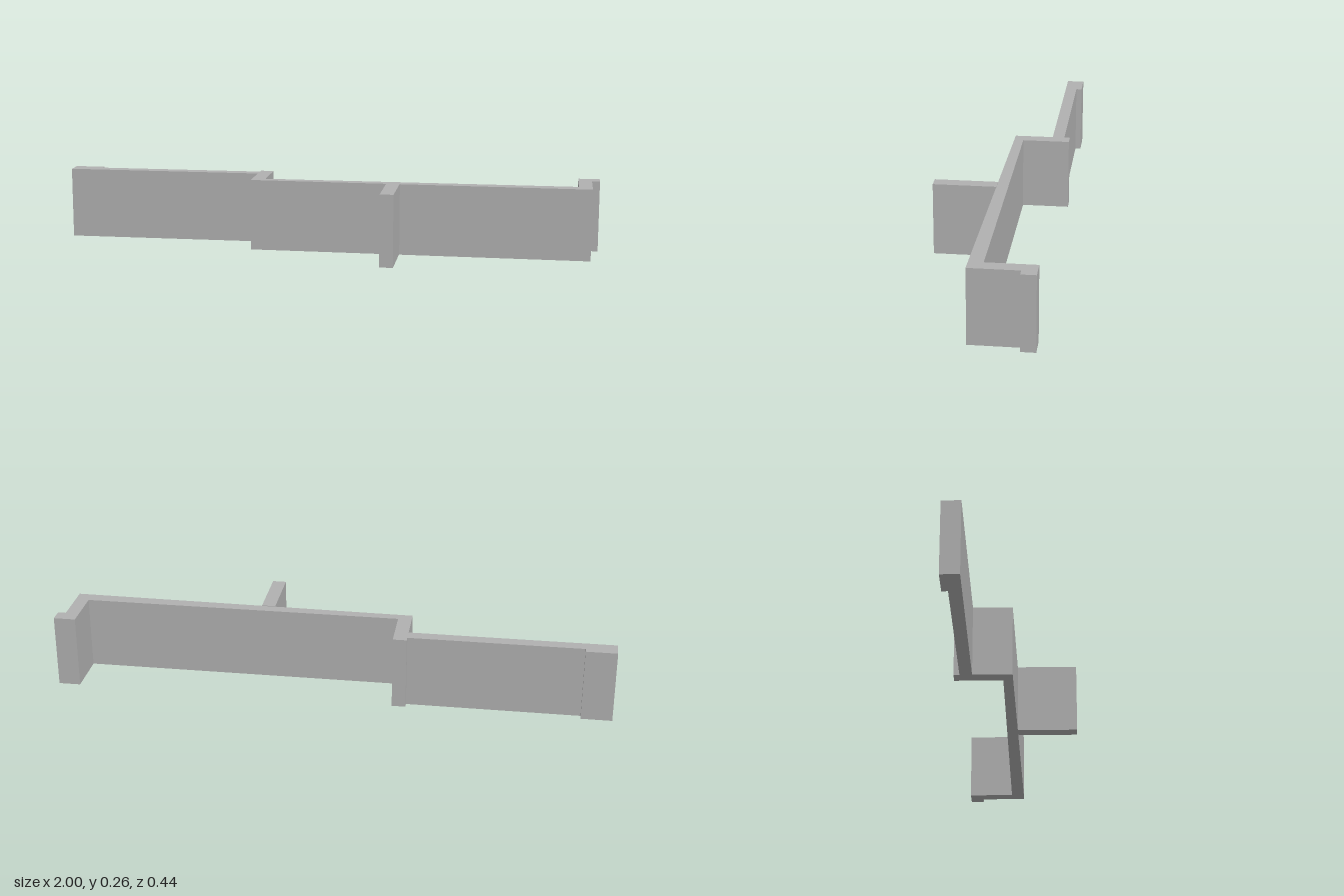
import * as THREE from 'three';

const HEIGHT = 0.262;

// Raises a floor-plan outline of [x, z] points into an upright wall.
function wall(name, plan, base, material) {
  const shape = new THREE.Shape(plan.map(([x, z]) => new THREE.Vector2(x, z)));
  const geometry = new THREE.ExtrudeGeometry(shape, { depth: HEIGHT, bevelEnabled: false });
  geometry.rotateX(Math.PI / 2); // plan y becomes z, depth runs downwards
  geometry.translate(0, base + HEIGHT, 0);
  const mesh = new THREE.Mesh(geometry, material);
  mesh.name = name;
  return mesh;
}

export function createModel() {
  const grey = new THREE.MeshStandardMaterial({ color: 0xb0b0b0 });
  grey.name = 'plain grey';

  const model = new THREE.Group();
  model.name = 'steppedWall';

  // Continuous stepped wall; the front of the long run leans slightly forward to the right
  model.add(wall('mainWall', [
    [-1, -0.218], [-0.89, -0.218], [-0.89, -0.197],    // thickened left end
    [-0.273, -0.197], [-0.273, -0.218], [-0.224, -0.218], // stub behind the step
    [-0.224, -0.046], [0.922, -0.046],                  // back of the long run
    [0.922, -0.218], [1, -0.218], [1, -0.167], [0.971, -0.167], // right return and end lip
    [0.971, 0.004], [-0.273, -0.012],                   // front of the long run
    [-0.273, -0.153], [-1, -0.153],                     // front of the left run
  ], 0, grey));

  // Partition standing out from the front
  model.add(wall('frontPartition', [
    [0.231, -0.006], [0.28, -0.006], [0.28, 0.218], [0.231, 0.218],
  ], 0.002, grey));

  return model;
}
